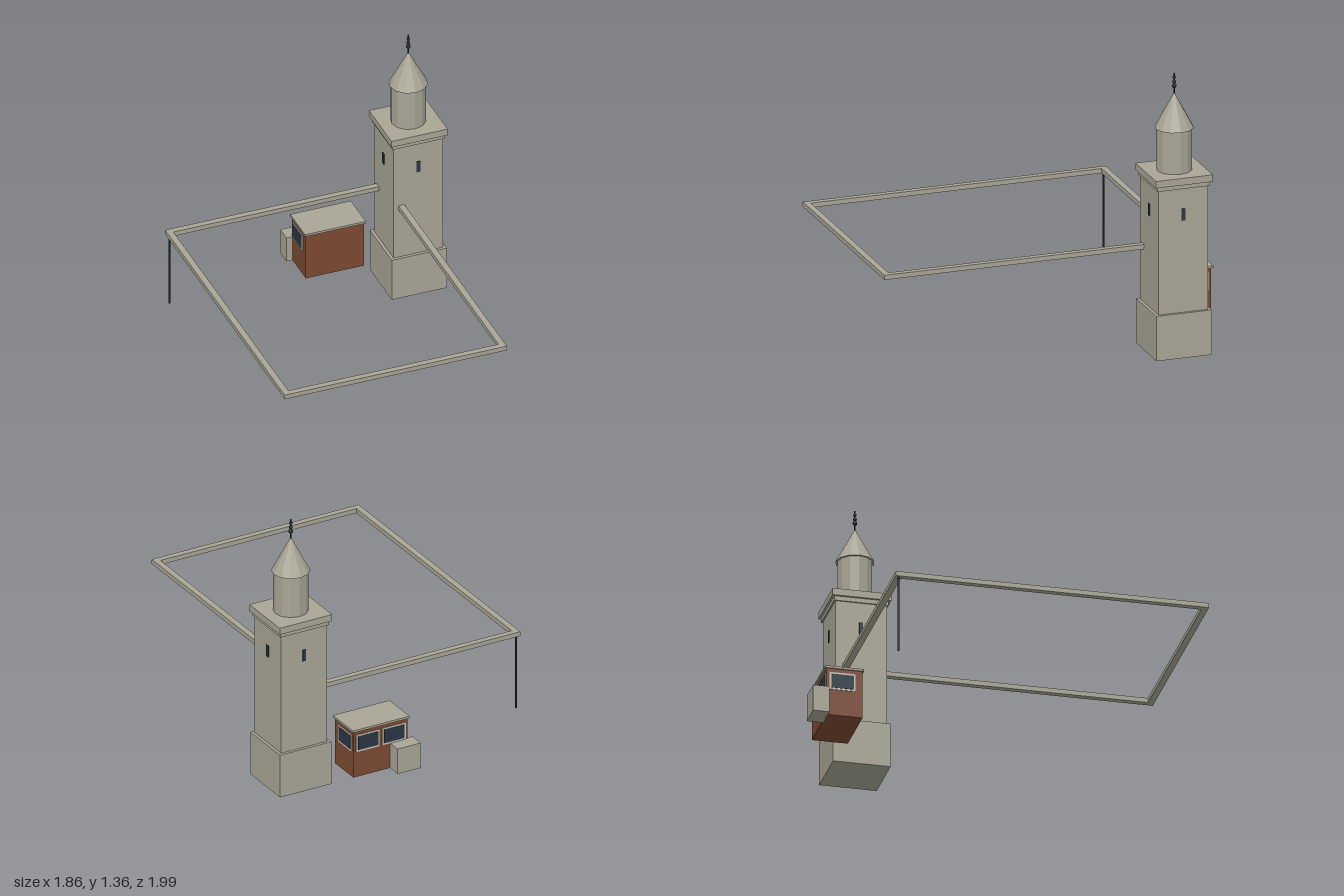
import * as THREE from 'three';

const mat = (name, color, flatShading = false) => {
  const m = new THREE.MeshStandardMaterial({ color, flatShading });
  m.name = name;
  return m;
};

export function createModel() {
  const stone = mat('stone', 0xa9a696, true);
  const brick = mat('brick', 0x7d4a33);
  const glass = mat('darkGlass', 0x2a3743);
  const trim = mat('windowTrim', 0xc6c4b6);
  const iron = mat('iron', 0x22252a);

  const root = new THREE.Group();
  root.name = 'towerYard';
  // The whole plan is square to itself but turned on the ground
  const plan = new THREE.Group();
  plan.name = 'plan';
  plan.rotation.y = -0.667;
  root.add(plan);

  const add = (parent, name, geo, material, x = 0, y = 0, z = 0) => {
    const mesh = new THREE.Mesh(geo, material);
    mesh.name = name;
    mesh.position.set(x, y, z);
    parent.add(mesh);
    return mesh;
  };
  // Box given by its lower and upper limits
  const span = (parent, name, material, x0, x1, y0, y1, z0, z1) =>
    add(parent, name, new THREE.BoxGeometry(x1 - x0, y1 - y0, z1 - z0), material,
      (x0 + x1) / 2, (y0 + y1) / 2, (z0 + z1) / 2);

  // Tower: stacked square blocks
  const tower = new THREE.Group();
  tower.name = 'tower';
  tower.position.set(-0.605, 0, -0.546);
  plan.add(tower);
  for (const [name, s, y0, y1] of [
    ['towerBase', 0.275, 0, 0.22],
    ['towerShaft', 0.246, 0.22, 0.828],
    ['corniceLower', 0.26, 0.828, 0.85],
    ['corniceUpper', 0.281, 0.85, 0.884],
  ]) span(tower, name, stone, -s / 2, s / 2, y0, y1, -s / 2, s / 2);

  // One slit window in each side of the shaft
  for (let i = 0; i < 4; i++) {
    const side = new THREE.Group();
    side.name = 'slitSide';
    side.rotation.y = i * Math.PI / 2;
    tower.add(side);
    add(side, 'slitWindow', new THREE.BoxGeometry(0.018, 0.058, 0.006), glass, 0, 0.7, 0.124);
  }

  // Drum, cone roof and finial
  add(tower, 'drum', new THREE.CylinderGeometry(0.083, 0.083, 0.206, 12), stone, 0, 0.987, 0);
  add(tower, 'coneRoof', new THREE.CylinderGeometry(0.004, 0.092, 0.165, 12), stone, 0, 1.1725, 0);
  add(tower, 'finialRod', new THREE.CylinderGeometry(0.004, 0.004, 0.11, 8), iron, 0, 1.3, 0);
  for (const [y, r] of [[1.293, 0.011], [1.313, 0.009], [1.335, 0.008]])
    add(tower, 'finialBall', new THREE.SphereGeometry(r, 10, 8), iron, 0, y, 0);

  // Raised rail around the yard, with a post at one corner
  const rail = new THREE.Group();
  rail.name = 'rail';
  plan.add(rail);
  const [L, R, B, F, w, y0, y1] = [-0.695, 0.801, -0.477, 0.634, 0.03, 0.482, 0.505];
  span(rail, 'railFront', stone, L, R, y0, y1, F - w, F);
  span(rail, 'railRight', stone, R - w, R, y0, y1, B, F - w);
  span(rail, 'railBack', stone, -0.5, R - w, y0, y1, B, B + w);
  span(rail, 'railLeft', stone, L, L + w, y0, y1, -0.44, F - w);
  add(rail, 'post', new THREE.CylinderGeometry(0.005, 0.005, 0.38, 8), iron, L + w / 2, 0.295, F - w / 2);

  // Cabin with flat roof and a side box
  const cabin = new THREE.Group();
  cabin.name = 'cabin';
  plan.add(cabin);
  const [cx0, cx1, cz0, cz1] = [-0.857, -0.685, -0.356, -0.065];
  span(cabin, 'cabinWalls', brick, cx0, cx1, 0.07, 0.307, cz0, cz1);
  span(cabin, 'cabinRoof', stone, cx0 - 0.008, cx1 + 0.006, 0.307, 0.318, cz0 - 0.007, cz1 + 0.006);
  span(cabin, 'sideBox', stone, -0.928, -0.851, 0.07, 0.2, -0.16, -0.035);

  // Trimmed windows: one at each end, two along the outer side
  for (const [x, z, turn] of [
    [-0.781, cz1, 0],
    [-0.781, cz0, Math.PI],
    [cx0, -0.279, -Math.PI / 2],
    [cx0, -0.139, -Math.PI / 2],
  ]) {
    const win = new THREE.Group();
    win.name = 'cabinWindow';
    win.position.set(x, 0.244, z);
    win.rotation.y = turn;
    cabin.add(win);
    add(win, 'windowTrim', new THREE.BoxGeometry(0.125, 0.088, 0.006), trim);
    add(win, 'windowGlass', new THREE.BoxGeometry(0.107, 0.07, 0.006), glass, 0, 0, 0.002);
  }
  return root;
}
